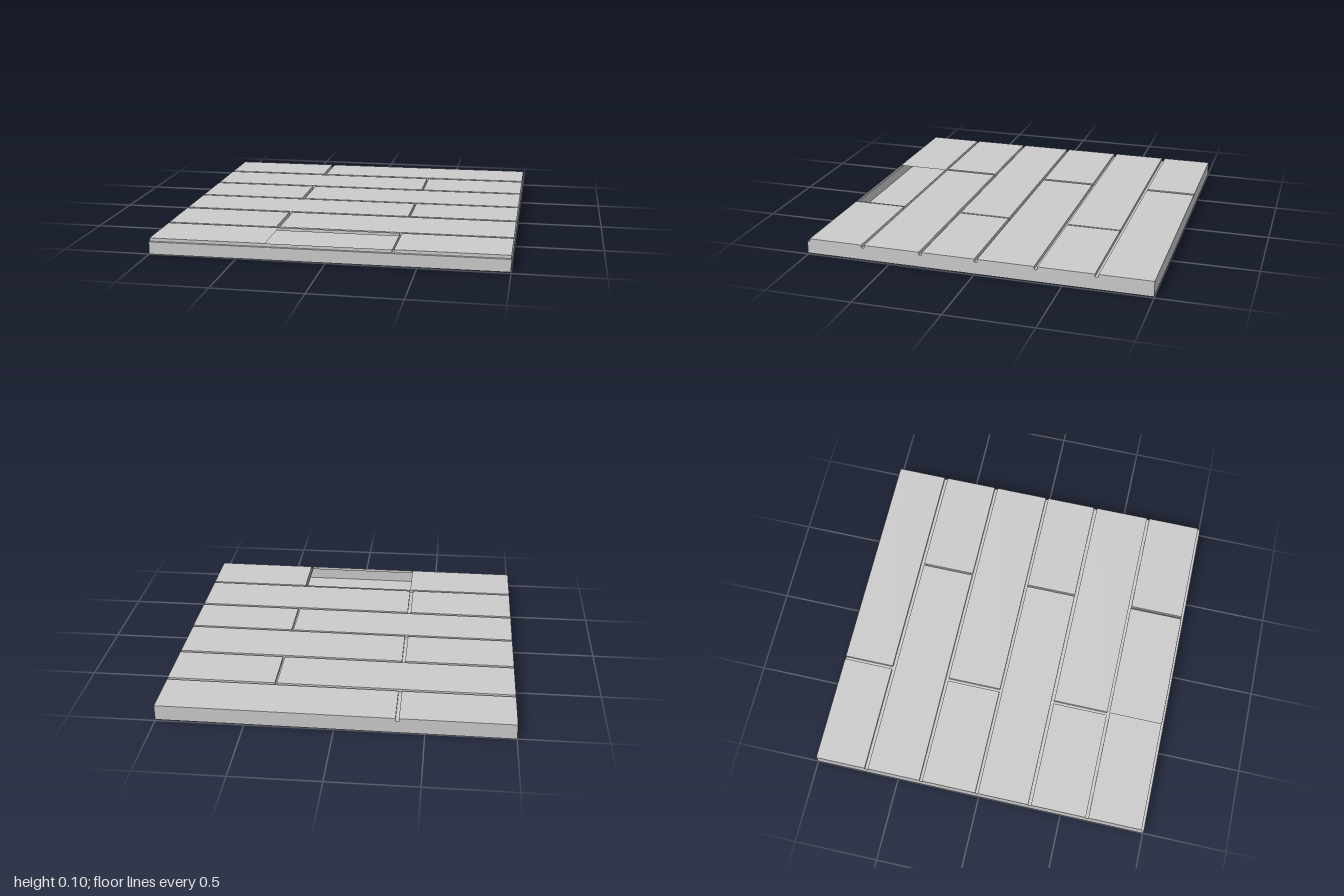
import * as THREE from 'three';

const GROOVE = 0.071, TOP = 0.089;
const tilt = (x) => 0.0035 * (x + 1); // the slab rises very slightly toward +x

// Rows as [z start, z end]; joints between planks as [x start, x end]
const ROWS = [[-1, -0.7], [-0.68, -0.362], [-0.344, -0.02], [-0.004, 0.302], [0.32, 0.65], [0.666, 0.985]];
const JOINT_A = [-0.357, -0.338], JOINT_B = [0.363, 0.374];

const material = new THREE.MeshStandardMaterial({ color: 0xcccccc, side: THREE.DoubleSide, flatShading: true });

// Mesh from quads, each four corners counter-clockwise from outside
function quadMesh(name, quads) {
  const pos = [];
  for (const q of quads) {
    for (const i of [0, 1, 2, 0, 2, 3]) {
      const [x, y, z] = q[i];
      pos.push(x, y + tilt(x), z);
    }
  }
  const geo = new THREE.BufferGeometry();
  geo.setAttribute('position', new THREE.Float32BufferAttribute(pos, 3));
  geo.computeVertexNormals();
  const mesh = new THREE.Mesh(geo, material);
  mesh.name = name;
  return mesh;
}

const corners = (x0, x1, z0, z1) => [[x0, z1], [x1, z1], [x1, z0], [x0, z0]];

// Upward-facing rectangle
const flat = (x0, x1, z0, z1, y) => corners(x0, x1, z0, z1).map(([x, z]) => [x, y, z]);

// Four walls around a rectangle
function walls(x0, x1, z0, z1, y0, y1) {
  const c = corners(x0, x1, z0, z1);
  return c.map(([ax, az], i) => {
    const [bx, bz] = c[(i + 1) % 4];
    return [[ax, y0, az], [bx, y0, bz], [bx, y1, bz], [ax, y1, az]];
  });
}

export function createModel() {
  const group = new THREE.Group();
  group.name = 'plankFloorTile';

  // Hollow base: outer walls and underside
  group.add(quadMesh('baseWalls', walls(-1, 1, -1, 1, 0, GROOVE)));
  group.add(quadMesh('underside', [flat(-1, 1, -1, 1, 0).reverse()]));

  const grooves = [];
  ROWS.forEach(([z0, z1], r) => {
    const joint = r % 2 ? JOINT_B : JOINT_A;
    const last = r === ROWS.length - 1;

    // Groove floors: the joint in this row and the gap in front of it
    grooves.push(flat(joint[0], joint[1], z0, z1, GROOVE));
    grooves.push(flat(-1, 1, z1, last ? 1 : ROWS[r + 1][0], GROOVE));

    // Two planks per row; the front long plank is open on top past its first third
    [[-1, joint[0]], [joint[1], 1]].forEach(([x0, x1], i) => {
      const open = last && i === 0;
      group.add(quadMesh(open ? 'openPlank' : 'plank', [
        flat(x0, open ? JOINT_A[1] : x1, z0, z1, TOP),
        ...walls(x0, x1, z0, z1, GROOVE, TOP),
      ]));
    });
  });
  group.add(quadMesh('grooveFloors', grooves));

  return group;
}
